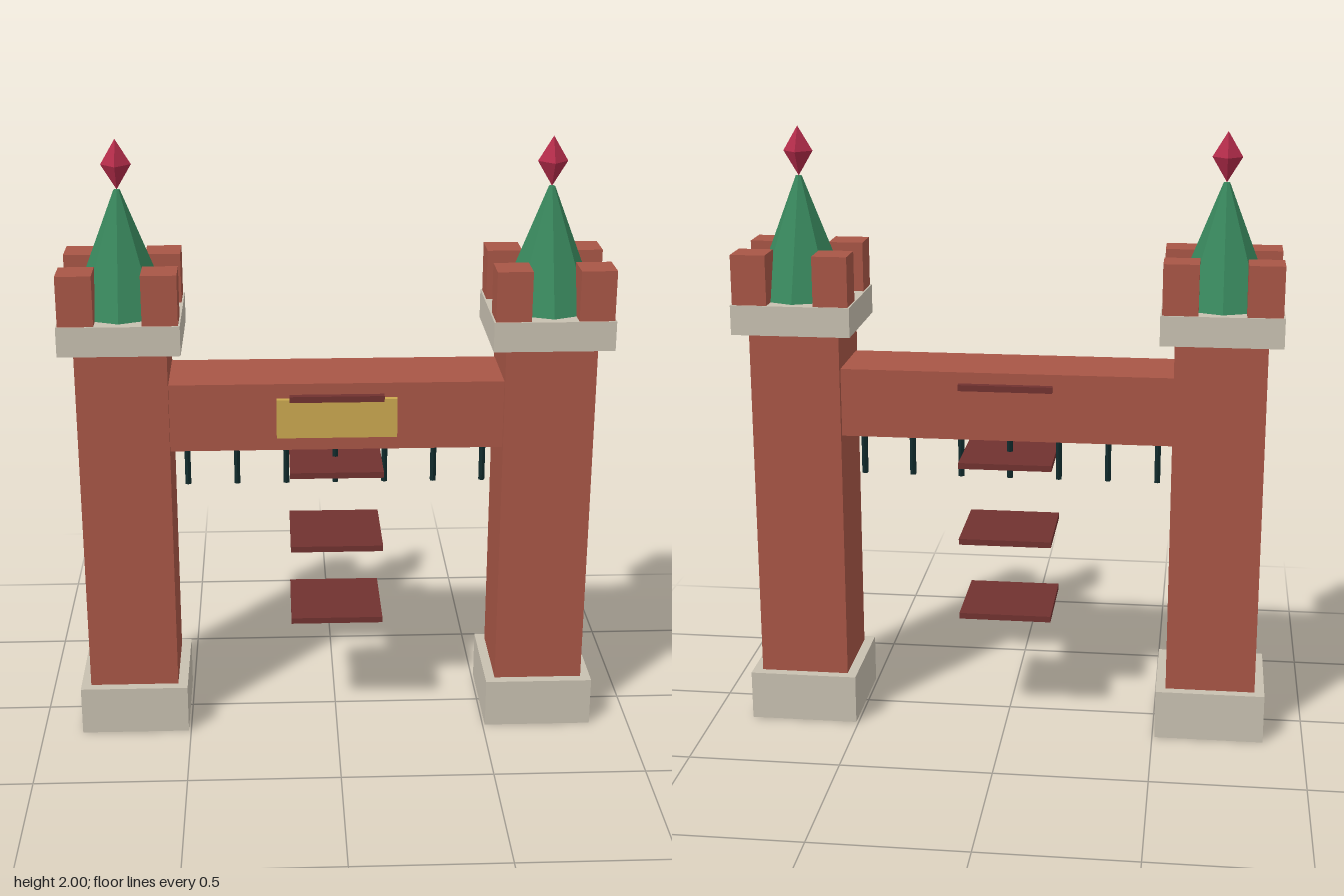
import * as THREE from 'three';

export function createModel() {
  const model = new THREE.Group();
  model.name = 'gateway';

  const material = (name, color, flatShading = false) => {
    const m = new THREE.MeshStandardMaterial({ color, flatShading });
    m.name = name;
    return m;
  };
  const brick = material('brick red', 0xa85646);
  const stone = material('pale stone', 0xc8c0b0);
  const roofGreen = material('roof green', 0x38865c, true);
  const ruby = material('ruby', 0xb42c4a, true);
  const gold = material('gold', 0xcba850);
  const maroon = material('maroon', 0x713230);
  const iron = material('dark iron', 0x102a2c, true);

  const add = (parent, name, geometry, mat, x, y, z) => {
    const mesh = new THREE.Mesh(geometry, mat);
    mesh.name = name;
    mesh.position.set(x, y, z);
    parent.add(mesh);
    return mesh;
  };
  // Box given by its width, depth and the heights of its bottom and top
  const block = (parent, name, mat, w, d, y0, y1, x = 0, z = 0) =>
    add(parent, name, new THREE.BoxGeometry(w, y1 - y0, d), mat, x, (y0 + y1) / 2, z);

  // Two matching towers
  for (const side of [-1, 1]) {
    const tower = new THREE.Group();
    tower.name = side > 0 ? 'leftTower' : 'rightTower';
    tower.position.x = side * 0.688;
    model.add(tower);

    block(tower, 'base', stone, 0.36, 0.36, 0, 0.165);
    block(tower, 'shaft', brick, 0.295, 0.295, 0.165, 1.35);
    block(tower, 'cap', stone, 0.388, 0.388, 1.35, 1.447);

    // Corner merlons
    for (const sx of [-1, 1])
      for (const sz of [-1, 1])
        block(tower, 'merlon', brick, 0.113, 0.113, 1.447, 1.61, sx * 0.132, sz * 0.132);

    // Eight-sided spire with a stretched gem on its tip
    add(tower, 'spire', new THREE.CylinderGeometry(0.01, 0.164, 0.393, 8), roofGreen, 0, 1.6435, 0);
    const gem = add(tower, 'gem', new THREE.OctahedronGeometry(1), ruby, 0, 1.92, 0);
    gem.scale.set(0.048, 0.08, 0.048);
  }

  // Beam between the towers, with its front plaque
  block(model, 'beam', brick, 1.1, 0.26, 1.005, 1.231);
  block(model, 'plaque', gold, 0.39, 0.02, 1.052, 1.182, 0, 0.139);

  // Iron bars hanging below the beam
  for (let i = -3; i <= 3; i++)
    add(model, 'bar', new THREE.CylinderGeometry(0.011, 0.011, 0.19, 6), iron, i * 0.164, 0.935, 0);

  // Column of square floating slabs, the highest passing through the beam
  for (let i = 0; i < 4; i++) {
    const y = 0.396 + i * 0.2627;
    block(model, 'slab', maroon, 0.306, 0.306, y - 0.01, y + 0.01);
  }

  return model;
}
